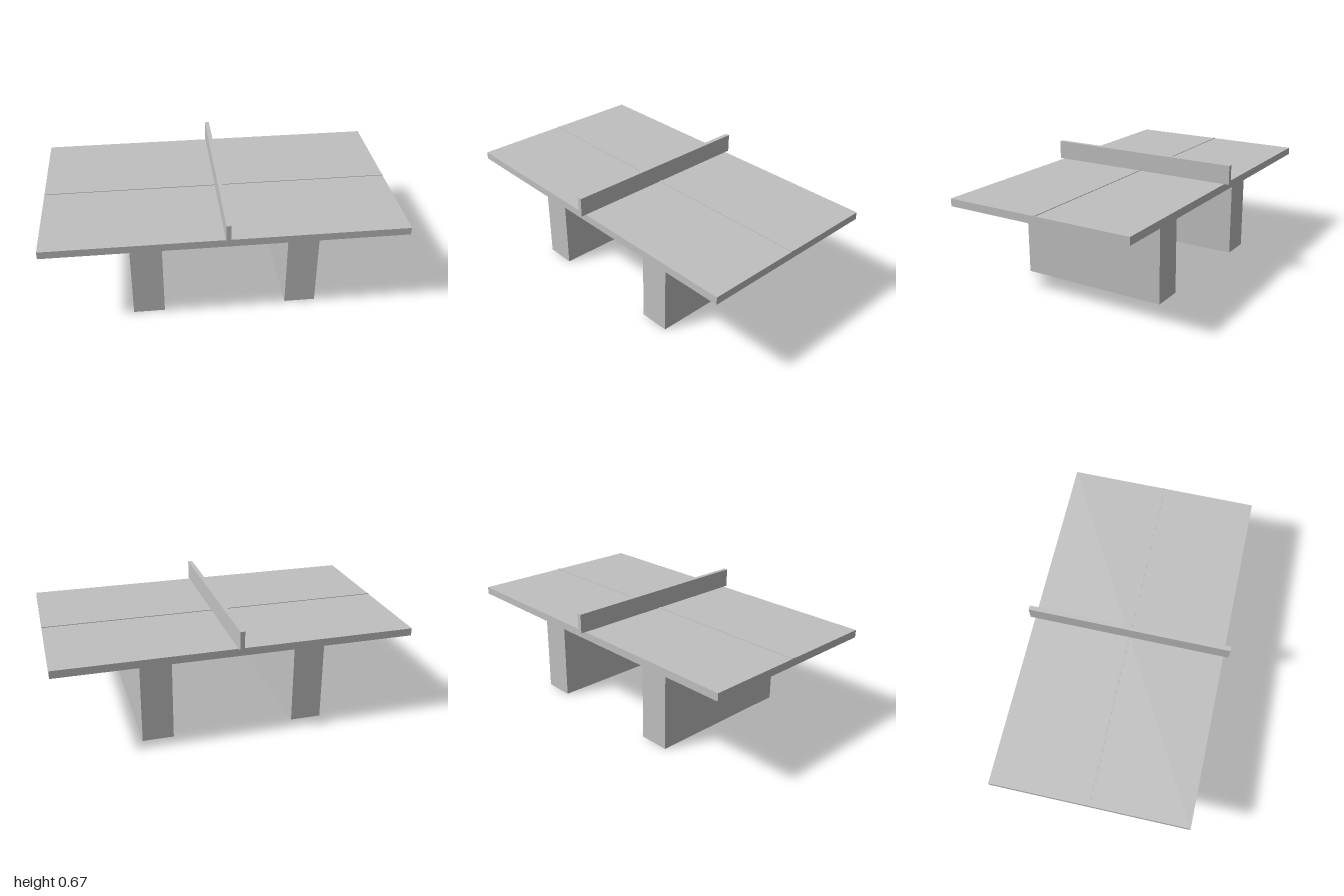
import * as THREE from 'three';

export function createModel() {
  const group = new THREE.Group();
  const grey = new THREE.MeshStandardMaterial({ color: 0xc0c0c0 });
  grey.name = 'light grey';

  // Box given by its centre x, bottom, top, width and depth
  function box(name, x, y0, y1, width, depth) {
    const mesh = new THREE.Mesh(new THREE.BoxGeometry(width, y1 - y0, depth), grey);
    mesh.name = name;
    mesh.position.set(x, (y0 + y1) / 2, 0);
    group.add(mesh);
  }

  box('tableTop', 0, 0.514, 0.557, 2, 1.11);

  // Raised line along the middle of the table
  box('centreLine', 0, 0.556, 0.5605, 2, 0.014);

  // Net, overhanging both long edges
  box('net', 0, 0.557, 0.666, 0.026, 1.166);

  // Solid block legs
  for (const side of [-1, 1]) {
    box(side < 0 ? 'rightLeg' : 'leftLeg', side * 0.439, 0, 0.514, 0.177, 0.88);
  }

  return group;
}
